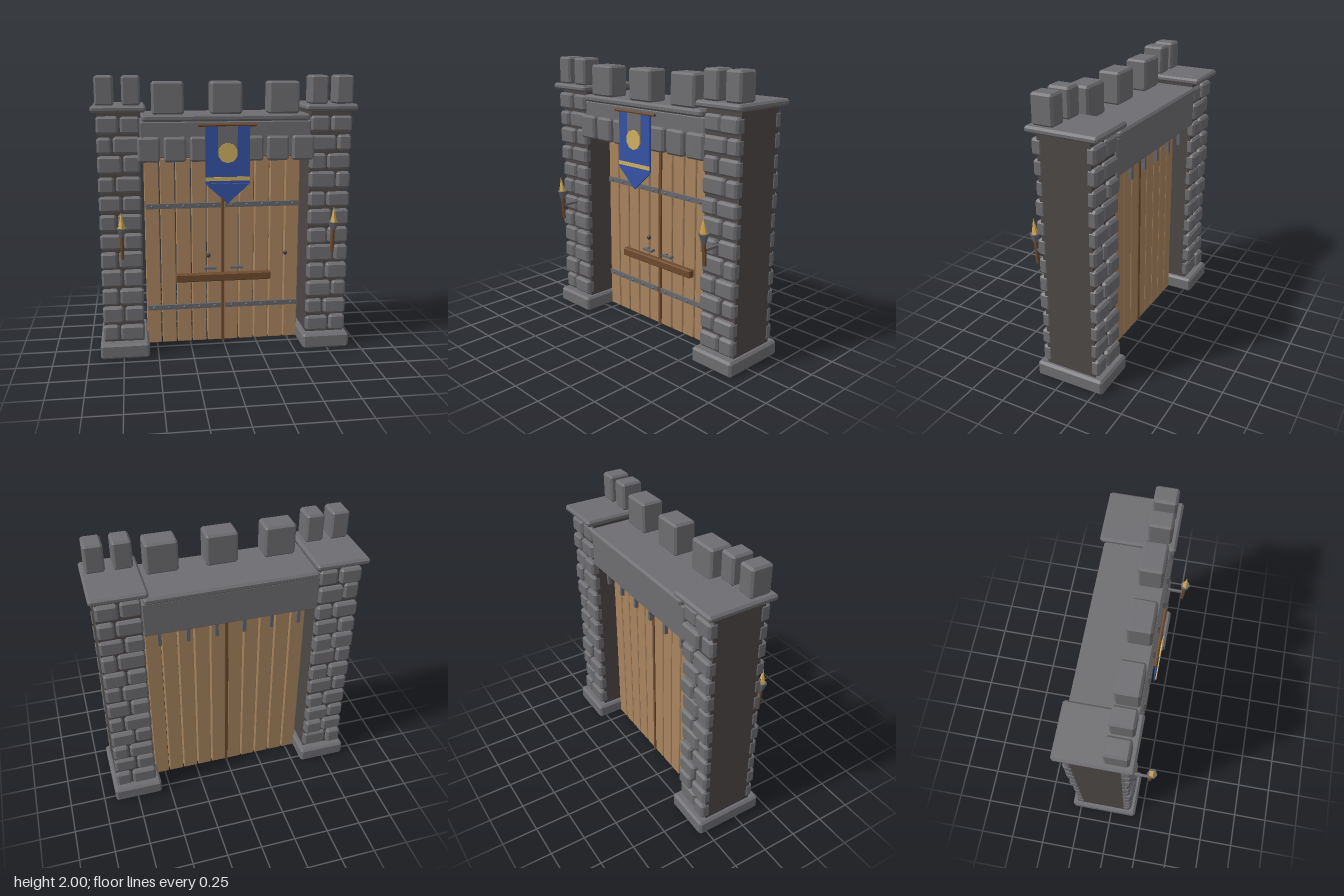
import * as THREE from 'three';
import { ConvexGeometry } from 'three/addons/geometries/ConvexGeometry.js';

const mat = (name, color, extra = {}) => {
  const m = new THREE.MeshStandardMaterial({ color, flatShading: true, ...extra });
  m.name = name;
  return m;
};

// Box between two corners with chamfered edges
function chamferBox(x0, x1, y0, y1, z0, z1, c = 0.012) {
  const h = [(x1 - x0) / 2, (y1 - y0) / 2, (z1 - z0) / 2];
  const pts = [];
  for (const sx of [-1, 1]) for (const sy of [-1, 1]) for (const sz of [-1, 1])
    for (let full = 0; full < 3; full++) {
      const v = [sx, sy, sz].map((s, i) => s * (i === full ? h[i] : h[i] - c));
      pts.push(new THREE.Vector3(...v));
    }
  return new ConvexGeometry(pts).translate((x0 + x1) / 2, (y0 + y1) / 2, (z0 + z1) / 2);
}

function plainBox(x0, x1, y0, y1, z0, z1) {
  return new THREE.BoxGeometry(x1 - x0, y1 - y0, z1 - z0)
    .translate((x0 + x1) / 2, (y0 + y1) / 2, (z0 + z1) / 2);
}

function seeded(seed) {
  return () => (seed = (seed * 16807) % 2147483647) / 2147483647;
}

export function createModel() {
  const root = new THREE.Group();
  root.name = 'castleGate';
  const stone = mat('stone', 0x6e6d71);
  const mortar = mat('dark mortar', 0x4d4846);
  const wood = mat('door wood', 0xa8845f);
  const darkWood = mat('dark wood', 0x6d4a2d);
  const iron = mat('iron', 0x66676c);
  const darkIron = mat('dark iron', 0x3c3c40);
  const blue = mat('banner blue', 0x3552a4);
  const gold = mat('gold', 0xd0b060);
  const flame = mat('flame', 0xd8ae52);

  const group = (name, parent = root) => {
    const g = new THREE.Group();
    g.name = name;
    parent.add(g);
    return g;
  };
  const add = (parent, name, geo, material) => {
    const m = new THREE.Mesh(geo, material);
    m.name = name;
    parent.add(m);
    return m;
  };

  // Towers: base, core, coursed stones on front and back, cap and merlons
  for (const side of [-1, 1]) {
    const tower = group(side > 0 ? 'leftTower' : 'rightTower');
    const box = (name, a, b, y0, y1, z0, z1, m, c) => {
      const x0 = Math.min(side * a, side * b), x1 = Math.max(side * a, side * b);
      add(tower, name, c ? chamferBox(x0, x1, y0, y1, z0, z1, c) : plainBox(x0, x1, y0, y1, z0, z1), m);
    };
    box('towerBase', 0.565, 0.915, 0, 0.112, -0.31, 0.195, stone, 0.016);
    box('towerCore', 0.6, 0.885, 0.11, 1.765, -0.245, 0.125, mortar);
    box('towerCap', 0.553, 0.925, 1.757, 1.802, -0.31, 0.19, stone, 0.014);
    box('towerMerlon', 0.588, 0.714, 1.8, 2, 0, 0.155, stone, 0.014);
    box('towerMerlon', 0.768, 0.894, 1.8, 2, 0, 0.155, stone, 0.014);
    const rnd = seeded(side > 0 ? 4177 : 901);
    const rows = 12, pitch = 1.62 / rows;
    for (const face of [-1, 1])
      for (let r = 0; r < rows; r++) {
        const y0 = 0.125 + r * pitch, y1 = y0 + pitch - 0.01 - rnd() * 0.012;
        const split = 0.6 + 0.29 * ((r % 2 ? 0.4 : 0.57) + rnd() * 0.08);
        for (const [a, b] of [[0.597, split - 0.006], [split + 0.006, 0.89]]) {
          const out = rnd() * 0.02, top = y1 - rnd() * 0.008;
          if (face > 0) box('towerStone', a, b, y0, top, 0.09, 0.17 - out, stone, 0.015);
          else box('towerStone', a, b, y0, top, -0.285 + out, -0.21, stone, 0.015);
        }
      }
  }

  // Lintel, walkway, merlons, corbels and spikes hanging behind
  const arch = group('gateTop');
  add(arch, 'lintel', chamferBox(-0.598, 0.598, 1.44, 1.69, -0.262, 0.14, 0.008), stone);
  add(arch, 'walkway', chamferBox(-0.585, 0.585, 1.69, 1.738, -0.285, 0.165, 0.014), stone);
  for (const x of [-0.403, 0, 0.403])
    add(arch, 'merlon', chamferBox(x - 0.109, x + 0.109, 1.737, 1.96, -0.01, 0.15, 0.014), stone);
  for (let i = -3; i <= 3; i++)
    add(arch, 'corbel', chamferBox(i * 0.18 - 0.077, i * 0.18 + 0.077, 1.415, 1.587, 0.06, 0.175, 0.014), stone);
  for (let i = 0; i < 6; i++) {
    const x = (i - 2.5) * 0.195;
    add(arch, 'spike', plainBox(x - 0.012, x + 0.012, 1.31, 1.45, -0.21, -0.186), iron);
  }

  // Double door: planks, centre batten, straps with rivets
  const door = group('door');
  for (const side of [-1, 1]) {
    for (let i = 0; i < 5; i++) {
      const x = side * (0.063 + i * 0.1145);
      add(door, 'plank', chamferBox(x - 0.053, x + 0.053, 0.005, 1.41, -0.115, -0.065, 0.005), wood);
      for (const y of [0.287, 1.062])
        add(door, 'rivet', new THREE.SphereGeometry(0.011, 8, 6).translate(x, y, -0.05), iron);
    }
    for (const y of [0.287, 1.062])
      add(door, 'strap', plainBox(side * 0.29 - 0.275, side * 0.29 + 0.275, y - 0.018, y + 0.018, -0.068, -0.05), iron);
    // Bracket above the locking bar
    const bx = side * 0.1;
    add(door, 'bracket', plainBox(bx - 0.045, bx + 0.045, 0.58, 0.596, -0.04, -0.02), iron);
    for (const dx of [-0.03, 0.03])
      add(door, 'bracketArm', plainBox(bx + dx - 0.008, bx + dx + 0.008, 0.58, 0.596, -0.068, -0.03), iron);
  }
  add(door, 'centreBatten', plainBox(-0.011, 0.011, 0, 1.4, -0.12, -0.055), darkWood);
  add(door, 'lockingBar', chamferBox(-0.355, 0.355, 0.492, 0.55, -0.055, -0.005, 0.006), darkWood);
  for (const x of [-0.11, 0.472])
    add(door, 'knob', new THREE.SphereGeometry(0.016, 8, 6).translate(x, 0.682, -0.05), darkIron);

  // Hanging banner
  const banner = group('banner');
  add(banner, 'bannerRod', new THREE.CylinderGeometry(0.011, 0.011, 0.4, 8)
    .rotateZ(Math.PI / 2).translate(0, 1.668, 0.19), darkWood);
  add(banner, 'cloth', plainBox(-0.155, 0.155, 1.265, 1.665, 0.183, 0.195), blue);
  const tip = new THREE.Shape([[-0.155, 1.262], [0, 1.122], [0.155, 1.262]].map(p => new THREE.Vector2(...p)));
  add(banner, 'clothTip', new THREE.ExtrudeGeometry(tip, { depth: 0.012, bevelEnabled: false })
    .translate(0, 0, 0.183), blue);
  add(banner, 'stripe', plainBox(-0.156, 0.156, 1.284, 1.31, 0.194, 0.202), gold);
  add(banner, 'emblemPanel', plainBox(-0.068, 0.068, 1.48, 1.66, 0.194, 0.198), stone);
  add(banner, 'emblemDisc', new THREE.CylinderGeometry(0.07, 0.07, 0.009, 10)
    .rotateX(Math.PI / 2).translate(0, 1.477, 0.202), gold);

  // Wall torches, leaning slightly outward
  for (const side of [-1, 1]) {
    const torch = group(side > 0 ? 'leftTorch' : 'rightTorch');
    torch.position.set(side * 0.738, 0.875, 0);
    add(torch, 'bracketRod', plainBox(-0.009, 0.009, -0.009, 0.009, 0.12, 0.275), iron);
    const body = group('torchBody', torch);
    body.position.z = 0.277;
    body.rotation.x = 0.06;
    add(body, 'handle', new THREE.CylinderGeometry(0.016, 0.013, 0.22, 6).translate(0, 0.005, 0), darkWood);
    add(body, 'cup', new THREE.CylinderGeometry(0.037, 0.018, 0.06, 6).translate(0, 0.085, 0), iron);
    add(body, 'flame', new THREE.ConeGeometry(0.027, 0.12, 5).translate(0, 0.167, 0), flame);
  }
  return root;
}
